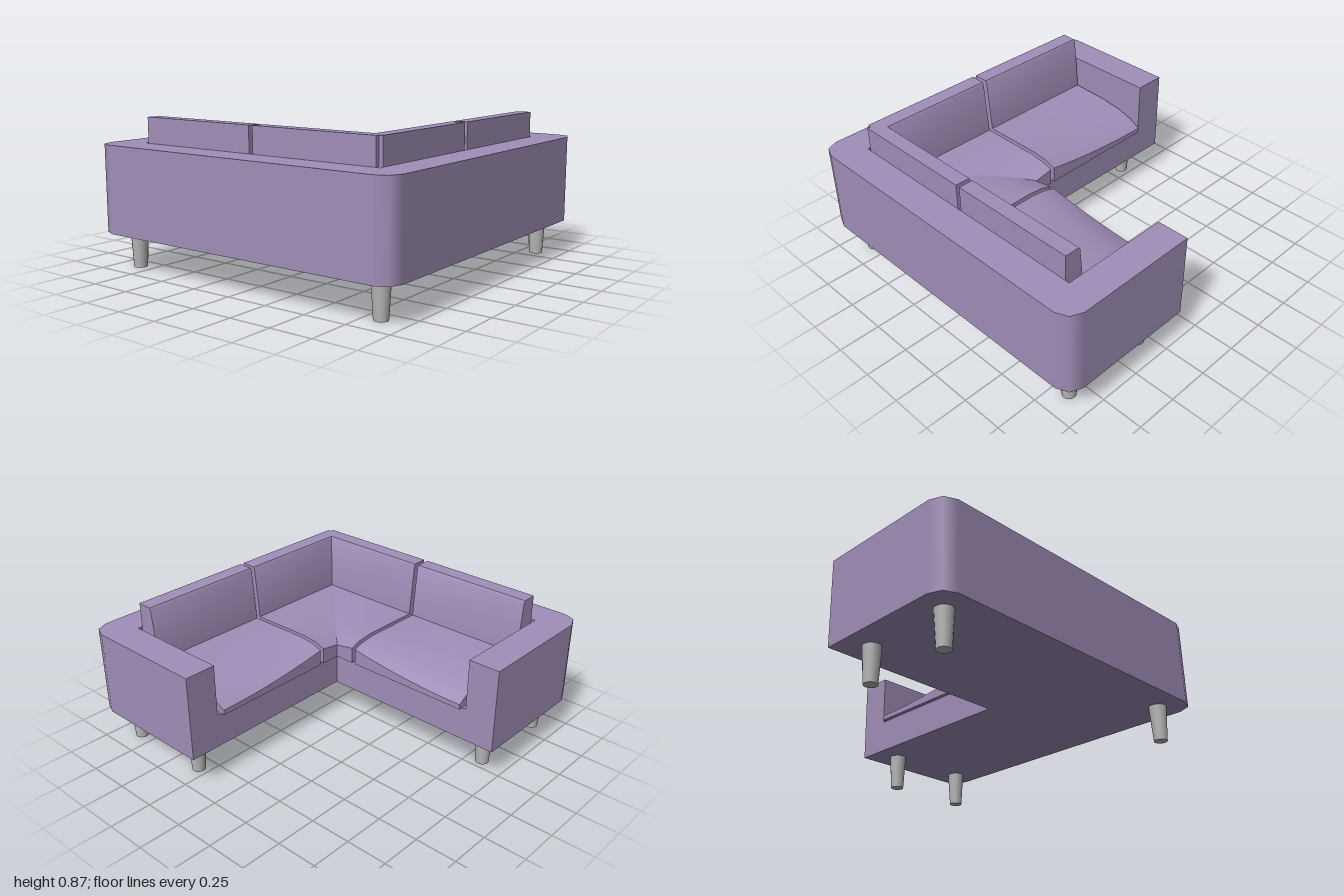
import * as THREE from 'three';
import { toCreasedNormals } from 'three/addons/utils/BufferGeometryUtils.js';

const fabric = new THREE.MeshStandardMaterial({ color: 0xa08eb8 });
fabric.name = 'lilac fabric';
const metal = new THREE.MeshStandardMaterial({ color: 0xb6b6b6 });
metal.name = 'grey leg';

const shapeOf = (pts) => new THREE.Shape(pts.map(([x, y]) => new THREE.Vector2(x, y)));

// Floor outline given as [x, z] points, raised from y0 to y1
function slab(points, y0, y1) {
  const g = new THREE.ExtrudeGeometry(shapeOf(points.map(([x, z]) => [x, -z])), {
    depth: y1 - y0, bevelEnabled: false,
  });
  g.rotateX(-Math.PI / 2).translate(0, y0, 0);
  // Rounded shading on the outer corners only, so the long walls stay flat
  const p = g.attributes.position;
  const n = g.attributes.normal;
  for (let i = 0; i < p.count; i++) {
    const x = p.getX(i), z = p.getZ(i);
    if (Math.abs(n.getY(i)) > 0.5 || Math.abs(x) < 0.899 || Math.abs(z) < 0.899) continue;
    const v = new THREE.Vector3(x - 0.9 * Math.sign(x), 0, z - 0.9 * Math.sign(z)).normalize();
    n.setXYZ(i, v.x, v.y, v.z);
  }
  return g;
}

// Section [depth, y] swept along one wing from a to b; reshape(depth, y, s) may
// return a new [y, s] for each point; alongX turns the result onto the other wing
function cushion(profile, a, b, alongX, steps = 1, reshape = (d, y, s) => [y, s]) {
  const dir = alongX ? -1 : 1;
  const g = new THREE.ExtrudeGeometry(shapeOf(profile), { depth: b - a, steps, bevelEnabled: false });
  g.translate(0, 0, alongX ? -b : a);
  const p = g.attributes.position;
  for (let i = 0; i < p.count; i++) {
    const [y, s] = reshape(p.getX(i), p.getY(i), dir * p.getZ(i));
    p.setY(i, y);
    p.setZ(i, dir * s);
  }
  if (alongX) g.rotateY(-Math.PI / 2);
  return toCreasedNormals(g, 0.7);
}

// Seat front swells upward toward the gap between neighbouring cushions
function swell(d, y, s) {
  const front = 1 - (d - 0.13) / 0.55;
  const near = Math.max(0, 1 - Math.abs(s) / 0.78);
  return [y > 0.42 ? y + 0.07 * front ** 2 * near ** 2 : y, s];
}

// The corner seat is also squeezed to end on the diagonal
const mitredSwell = (d, y, s) => swell(d, y, 0.01 + ((s - 0.01) / 0.67) * (d - 0.01));

export function createModel() {
  const sofa = new THREE.Group();
  sofa.name = 'cornerSofa';
  const add = (name, geometry, material = fabric) => {
    const mesh = new THREE.Mesh(geometry, material);
    mesh.name = name;
    sofa.add(mesh);
    return mesh;
  };

  // Outer edge with softened corners, shared by the base and the walls
  const outer = [
    [0.155, -1], [0.9, -1], [0.97, -0.97], [1, -0.9],
    [1, 0.9], [0.97, 0.97], [0.9, 1],
    [-0.9, 1], [-0.97, 0.97], [-1, 0.9], [-1, 0.155],
  ];
  add('seatBase', slab([...outer, [0.155, 0.155]], 0.21, 0.41));
  add('armsAndBack', slab([
    ...outer, [-0.81, 0.155], [-0.81, 0.81], [0.81, 0.81], [0.81, -0.81], [0.155, -0.81],
  ], 0.41, 0.72));

  // Cushion sections: x is distance from the room centre line
  const seat = [
    [0.13, 0.41], [0.68, 0.41], [0.68, 0.54], [0.45, 0.53],
    [0.3, 0.51], [0.2, 0.48], [0.13, 0.44],
  ];
  const back = [
    [0.68, 0.41], [0.808, 0.41], [0.808, 0.87], [0.718, 0.868], [0.71, 0.855], [0.68, 0.55],
  ];
  for (const alongX of [false, true]) {
    const wing = alongX ? 'rear' : 'side';
    add(wing + 'SeatCushion', cushion(seat, -0.785, -0.015, alongX, 6, swell));
    add(wing + 'CornerSeatCushion', cushion(seat, 0.01, 0.68, alongX, 6, mitredSwell));
    add(wing + 'BackCushion', cushion(back, -0.785, -0.015, alongX));
    add(wing + 'CornerBackCushion', cushion(back, 0.01, 0.785, alongX));
  }

  // Tapered legs
  const legs = [[-0.845, 0.845], [0.845, 0.845], [0.845, -0.845], [0.315, -0.845], [-0.845, 0.315]];
  for (const [x, z] of legs) {
    add('leg', new THREE.CylinderGeometry(0.052, 0.039, 0.215, 16), metal).position.set(x, 0.1075, z);
  }
  return sofa;
}
